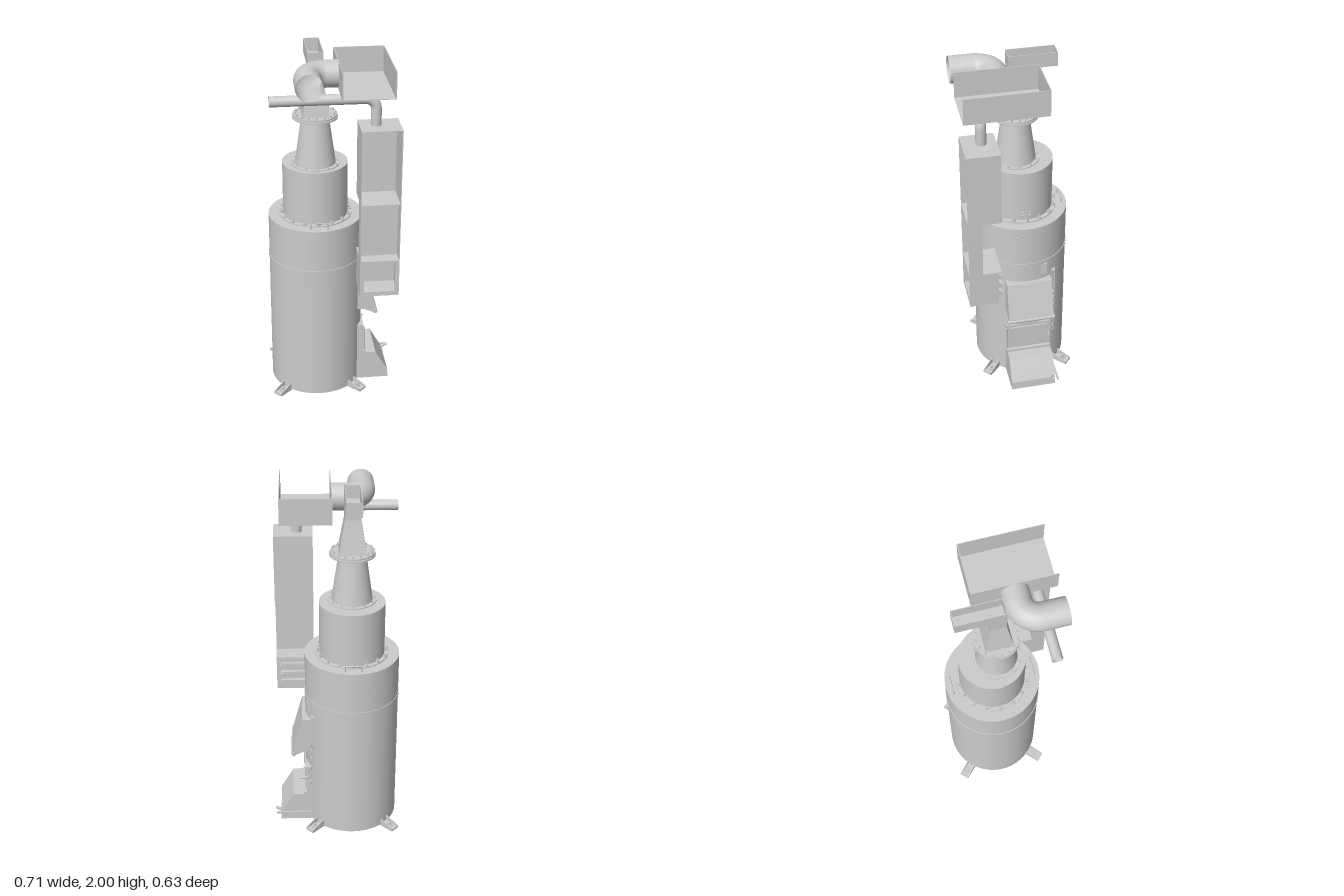
import * as THREE from 'three';

const grey = new THREE.MeshStandardMaterial({ color: 0xcccccc, side: THREE.DoubleSide });
const facet = new THREE.MeshStandardMaterial({ color: 0xcccccc, flatShading: true });
const CX = -0.088, CZ = -0.05, NZ = -0.025; // body axis, and the cone's own z

export function createModel() {
  const root = new THREE.Group();

  const add = (name, geo, x = 0, y = 0, z = 0, mat = grey, parent = root) => {
    const m = new THREE.Mesh(geo, mat);
    m.name = name;
    m.position.set(x, y, z);
    parent.add(m);
    return m;
  };
  const group = (name, parent = root) => {
    const g = new THREE.Group();
    g.name = name;
    parent.add(g);
    return g;
  };
  // Box given by its limits
  const box = (name, x0, x1, y0, y1, z0, z1, parent = root) =>
    add(name, new THREE.BoxGeometry(x1 - x0, y1 - y0, z1 - z0),
      (x0 + x1) / 2, (y0 + y1) / 2, (z0 + z1) / 2, grey, parent);
  // Upright round part given by its bottom and top
  const drum = (name, r0, r1, y0, y1, z = CZ, seg = 64) =>
    add(name, new THREE.CylinderGeometry(r1, r0, y1 - y0, seg), CX, (y0 + y1) / 2, z);
  // Sheet metal box; sides lists the walls that are present
  const sheetBox = (name, x0, x1, y0, y1, z0, z1, sides) => {
    const g = group(name), t = 0.004;
    const walls = {
      left: [x1 - t, x1, y0, y1, z0, z1], right: [x0, x0 + t, y0, y1, z0, z1],
      bottom: [x0, x1, y0, y0 + t, z0, z1], top: [x0, x1, y1 - t, y1, z0, z1],
      back: [x0, x1, y0, y1, z0, z0 + t], front: [x0, x1, y0, y1, z1 - t, z1],
    };
    for (const s of sides) box(s + 'Wall', ...walls[s], g);
    return g;
  };
  // Side profile in x, y swept along z
  const sweep = (name, pts, z0, z1) => add(name, new THREE.ExtrudeGeometry(
    new THREE.Shape(pts.map(p => new THREE.Vector2(...p))), { depth: z1 - z0, bevelEnabled: false }), 0, 0, z0);
  // Ring of pointed bolts
  const boltRing = (name, n, r, y, z, size) => {
    const g = group(name);
    for (let i = 0; i < n; i++) {
      const a = i / n * Math.PI * 2, x = CX + Math.sin(a) * r, bz = z + Math.cos(a) * r;
      add('boltHead', new THREE.CylinderGeometry(size, size, size, 6), x, y + size / 2, bz, facet, g);
      add('boltTip', new THREE.CylinderGeometry(size * 0.4, size * 0.5, size, 8), x, y + size * 1.5, bz, grey, g);
    }
  };
  // Pipe with one rounded right-angle bend
  const bentPipe = (name, a, corner, b, bend, r) => {
    const [A, C, B] = [a, corner, b].map(p => new THREE.Vector3(...p));
    const toA = A.clone().sub(C).normalize(), toB = B.clone().sub(C).normalize();
    const at = (d, k) => C.clone().addScaledVector(d, bend * k);
    const path = new THREE.CurvePath();
    path.add(new THREE.LineCurve3(A, at(toA, 1)));
    path.add(new THREE.CubicBezierCurve3(at(toA, 1), at(toA, 0.45), at(toB, 0.45), at(toB, 1)));
    path.add(new THREE.LineCurve3(at(toB, 1), B));
    return add(name, new THREE.TubeGeometry(path, 50, r, 32), 0, 0, 0);
  };

  // Stepped round body
  drum('lowerBody', 0.262, 0.262, 0.005, 0.8);
  drum('bodySeam', 0.266, 0.266, 0.798, 0.816);
  drum('upperBody', 0.262, 0.262, 0.81, 1.055);
  drum('shoulderFlange', 0.203, 0.203, 1.055, 1.061);
  boltRing('shoulderBolts', 16, 0.191, 1.06, CZ, 0.011);
  drum('topDrum', 0.18, 0.18, 1.055, 1.365);
  drum('coneBaseFlange', 0.133, 0.133, 1.365, 1.37, NZ);
  boltRing('coneBaseBolts', 12, 0.122, 1.37, NZ, 0.006);
  drum('cone', 0.112, 0.074, 1.365, 1.635, NZ);
  drum('coneTopFlangeLower', 0.124, 0.124, 1.63, 1.639, NZ);
  drum('coneTopFlangeUpper', 0.12, 0.12, 1.641, 1.65, NZ);
  boltRing('coneTopBolts', 16, 0.108, 1.65, NZ, 0.007);

  // Lifting handles on the shoulder
  for (const z of [-0.278, 0.178]) {
    const pts = [[-0.046, 0], [-0.046, 0.024], [-0.04, 0.032], [0.04, 0.032], [0.046, 0.024], [0.046, 0]];
    const curve = new THREE.CatmullRomCurve3(pts.map(p => new THREE.Vector3(p[0], p[1], 0)), false, 'catmullrom', 0.1);
    add('shoulderHandle', new THREE.TubeGeometry(curve, 30, 0.004, 8), CX, 1.055, z);
  }

  // Square transition and open chute at the head
  const half = Math.SQRT2;
  add('squareTransition', new THREE.CylinderGeometry(0.0425 * half, 0.0735 * half, 0.19, 4), CX, 1.745, NZ, facet)
    .rotation.y = Math.PI / 4;
  box('chuteNeck', -0.13, -0.045, 1.835, 1.925, -0.068, 0.018);
  sheetBox('chute', -0.13, -0.045, 1.922, 2.0, -0.24, 0.02, ['left', 'right', 'bottom', 'back', 'front']);

  // Raised tray, large elbow and thin pipe
  sheetBox('tray', 0.02, 0.295, 1.835, 1.98, -0.125, 0.315, ['left', 'right', 'bottom', 'back']);
  bentPipe('largeElbow', [0.02, 1.908, 0.093], [-0.145, 1.908, 0.093], [-0.145, 1.908, 0.315], 0.1, 0.072);
  bentPipe('thinPipe', [-0.345, 1.81, 0.215], [0.207, 1.81, 0.215], [0.207, 1.66, 0.215], 0.055, 0.028);

  // Tall cabinet, open at the front, in three bays
  const open = ['left', 'right', 'bottom', 'top', 'back'];
  sheetBox('cabinetUpper', 0.12, 0.335, 1.245, 1.665, 0.135, 0.315, open);
  sheetBox('cabinetMiddle', 0.12, 0.335, 0.915, 1.245, 0.24, 0.315, ['left', 'right', 'back']);
  sheetBox('cabinetLower', 0.12, 0.335, 0.7, 0.915, 0.155, 0.315, open);
  box('cabinetLowerLip', 0.12, 0.335, 0.908, 0.915, 0.137, 0.16);
  const frame = group('windowFrame');
  box('frameTop', 0.124, 0.331, 0.9, 0.913, 0.305, 0.313, frame);
  box('frameBottom', 0.124, 0.331, 0.704, 0.724, 0.305, 0.313, frame);
  box('frameRight', 0.124, 0.142, 0.72, 0.905, 0.305, 0.313, frame);
  box('frameLeft', 0.313, 0.331, 0.72, 0.905, 0.305, 0.313, frame);
  for (const y of [0.75, 0.805, 0.86]) {
    box('cabinetRib', 0.15, 0.31, y - 0.016, y + 0.016, 0.135, 0.158);
    box('cabinetRibLatch', 0.29, 0.315, y - 0.008, y + 0.008, 0.125, 0.14);
  }
  for (let i = 0; i < 9; i++) {
    const y = 0.78 + i * 0.1;
    add('cabinetStud', new THREE.SphereGeometry(0.004, 8, 6), 0.335, y, 0.29);
  }

  // Feeding hood, middle door and ash hopper on the left side
  const z0 = -0.178, z1 = 0.08;
  sweep('feedHood', [[0.1, 0.48], [0.175, 0.48], [0.243, 0.45], [0.25, 0.475], [0.192, 0.69], [0.1, 0.69]], z0, z1);
  sweep('ashHopper', [[0.1, 0.005], [0.325, 0.005], [0.322, 0.055], [0.25, 0.18], [0.1, 0.18]], z0, z1);
  box('middleDoorFrame', 0.1, 0.172, 0.195, 0.37, z0, z1);
  box('middleDoorPanel', 0.17, 0.181, 0.212, 0.353, z0 + 0.02, z1 - 0.02);
  box('middleDoorSill', 0.1, 0.19, 0.18, 0.195, z0, z1);
  box('smallBox', 0.1, 0.165, 0.72, 0.79, -0.155, -0.05);
  const rod = (name, r, len, x, y, z) =>
    add(name, new THREE.CylinderGeometry(r, r, len, 12), x, y, z);
  rod('hoodRod', 0.012, 0.275, 0.244, 0.463, -0.049).rotation.x = Math.PI / 2;
  rod('doorHinge', 0.006, 0.15, 0.18, 0.283, z1 + 0.004);
  rod('doorLatch', 0.005, 0.04, 0.19, 0.29, z0 + 0.01).rotation.z = Math.PI / 2;
  rod('hopperHandle', 0.008, 0.045, 0.332, 0.067, z0 + 0.015).rotation.z = -1.05;
  box('hopperHandleArm', 0.15, 0.35, 0.055, 0.065, -0.196, -0.186);

  // Guide slot and hanging chain
  const slot = group('guideSlot');
  for (const z of [-0.19, -0.205]) box('slotBar', 0.115, 0.145, 0.56, 0.72, z - 0.003, z + 0.003, slot);
  for (const y of [0.56, 0.72]) box('slotEnd', 0.115, 0.145, y - 0.005, y + 0.005, -0.208, -0.187, slot);
  const chain = group('chain');
  for (let i = 0; i < 11; i++) {
    const link = add('chainLink', new THREE.TorusGeometry(0.01, 0.003, 6, 14), 0.145, 0.285 + i * 0.026, -0.2, grey, chain);
    link.scale.y = 1.5;
    link.rotation.y = i % 2 ? 0 : Math.PI / 2;
  }

  // Small studs on the body and top drum
  for (const [x, y, z] of [[0.172, 1.0, 0.02], [0.153, 0.925, -0.12], [0.092, 1.09, -0.03],
    [0.092, 1.11, -0.03], [0.092, 1.09, -0.07], [0.092, 1.11, -0.07]])
    add('stud', new THREE.SphereGeometry(0.007, 10, 8), x, y, z);

  // Four anchor feet on the diagonals
  for (let i = 0; i < 4; i++) {
    const foot = group('foot');
    foot.position.set(CX, 0, CZ);
    foot.rotation.y = Math.PI / 4 + i * Math.PI / 2;
    box('footPlate', 0.24, 0.35, 0, 0.012, -0.027, 0.027, foot);
    for (const z of [-0.027, 0.022]) {
      const side = sweep('footSide', [[0.24, 0], [0.35, 0], [0.35, 0.018], [0.262, 0.045], [0.24, 0.045]], z, z + 0.005);
      foot.add(side);
    }
    add('footWasher', new THREE.CylinderGeometry(0.018, 0.018, 0.006, 20), 0.308, 0.015, 0, grey, foot);
    add('footBolt', new THREE.CylinderGeometry(0.01, 0.01, 0.016, 6), 0.308, 0.024, 0, facet, foot);
  }

  return root;
}
